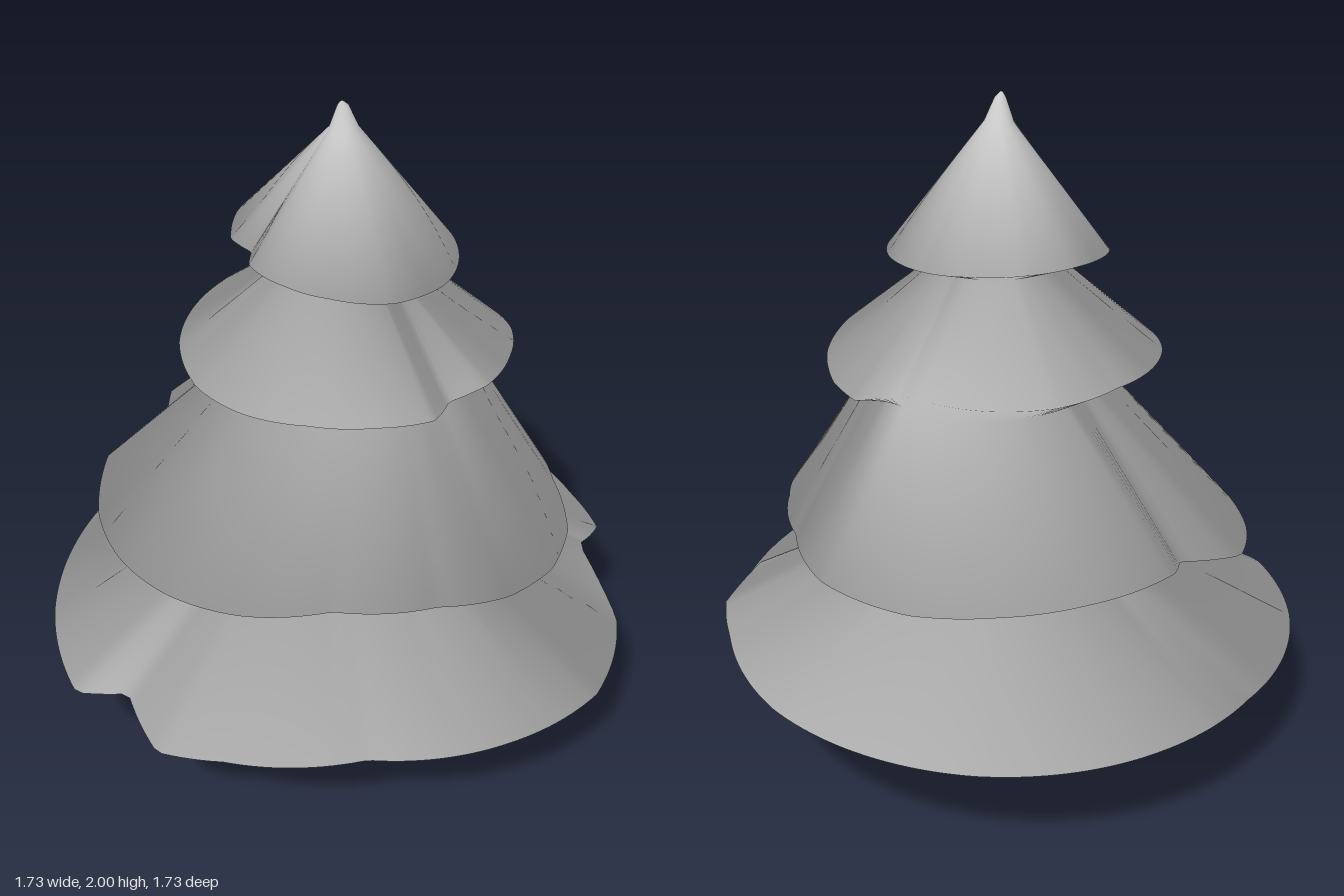
import * as THREE from 'three';

const COLUMNS = 180;
const material = new THREE.MeshStandardMaterial({ color: 0xcccccc });

// Rim outlines, as [degrees, radius, height] around the tree
const topRim = [[0, 0.28, 1.57], [34, 0.3, 1.56], [65, 0.31, 1.55], [90, 0.32, 1.55], [119, 0.31, 1.55],
  [152, 0.28, 1.56], [180, 0.28, 1.57], [209, 0.285, 1.57], [223, 0.26, 1.57], [235, 0.315, 1.58],
  [256, 0.33, 1.6], [275, 0.335, 1.61], [301, 0.33, 1.61], [329, 0.29, 1.59]];
const upperRim = [[10, 0.465, 1.22], [24, 0.48, 1.23], [43, 0.48, 1.25], [65, 0.465, 1.27], [88, 0.46, 1.28],
  [99, 0.395, 1.24], [112, 0.45, 1.25], [133, 0.44, 1.26], [157, 0.435, 1.26], [183, 0.45, 1.25],
  [205, 0.465, 1.25], [230, 0.47, 1.27], [251, 0.465, 1.28], [270, 0.46, 1.29], [295, 0.475, 1.29],
  [318, 0.445, 1.28], [346, 0.41, 1.27], [357, 0.39, 1.25]];
const middleRim = [[0, 0.67, 0.77], [25, 0.61, 0.76], [50, 0.625, 0.74], [68, 0.67, 0.71], [83, 0.675, 0.7],
  [99, 0.65, 0.71], [119, 0.61, 0.75], [147, 0.6, 0.77], [171, 0.63, 0.72], [193, 0.675, 0.7],
  [209, 0.71, 0.7], [228, 0.74, 0.7], [247, 0.75, 0.74], [259, 0.62, 0.76], [270, 0.69, 0.81],
  [294, 0.69, 0.81], [314, 0.69, 0.8], [334, 0.69, 0.78]];
const bottomRim = [[0, 0.86, 0.44], [27, 0.82, 0.44], [40, 0.82, 0.44], [51, 0.72, 0.5], [61, 0.84, 0.32],
  [86, 0.865, 0.34], [110, 0.82, 0.36], [139, 0.77, 0.38], [168, 0.82, 0.35], [181, 0.87, 0.33],
  [195, 0.8, 0.37], [203, 0.91, 0.34], [225, 0.9, 0.36], [260, 0.87, 0.4], [284, 0.87, 0.41],
  [318, 0.88, 0.43]];

// Point on a rim at a given angle in degrees
function rimPoint(keys, degrees) {
  const first = keys[0];
  const deg = degrees < first[0] ? degrees + 360 : degrees;
  const next = keys.findIndex((key) => key[0] > deg);
  const a = next < 0 ? keys[keys.length - 1] : keys[next - 1];
  const b = next < 0 ? [first[0] + 360, first[1], first[2]] : keys[next];
  const t = (deg - a[0]) / (b[0] - a[0]);
  const r = THREE.MathUtils.lerp(a[1], b[1], t);
  const angle = THREE.MathUtils.degToRad(deg);
  return new THREE.Vector3(r * Math.cos(angle), THREE.MathUtils.lerp(a[2], b[2], t), r * Math.sin(angle));
}

const columnAngle = (j) => (j * 360) / COLUMNS;
const rim = (keys) => Array.from({ length: COLUMNS }, (_, j) => rimPoint(keys, columnAngle(j)));

// Round ring at height y; with lift it rises and falls with a rim
function ring(r, y, x = 0, z = 0, lift = 0, keys = bottomRim) {
  const wave = rim(keys).map((p) => p.y);
  const mean = wave.reduce((sum, h) => sum + h, 0) / COLUMNS;
  return wave.map((h, j) => {
    const angle = THREE.MathUtils.degToRad(columnAngle(j));
    return new THREE.Vector3(x + r * Math.cos(angle), y + lift * (h - mean), z + r * Math.sin(angle));
  });
}

// Smooth normals across the whole shell: each face around a corner counts equally
function shellNormals(rings) {
  const normals = rings.map((points) => points.map(() => new THREE.Vector3()));
  for (let k = 0; k < rings.length - 1; k++) {
    for (let j = 0; j < COLUMNS; j++) {
      const n = (j + 1) % COLUMNS;
      const across = rings[k + 1][n].clone().sub(rings[k][j]);
      const down = rings[k + 1][j].clone().sub(rings[k][n]);
      const face = across.cross(down).negate().normalize();
      for (const corner of [normals[k][j], normals[k][n], normals[k + 1][j], normals[k + 1][n]]) {
        corner.sub(face);
      }
    }
  }
  return normals.map((row) => row.map((normal) => normal.normalize()));
}

// Mesh of the shell between two of its rings
function shellPart(name, rings, normals, from, to) {
  const flatten = (rows) => rows.slice(from, to + 1).flat().flatMap((v) => v.toArray());
  const indices = [];
  for (let k = 0; k < to - from; k++) {
    for (let j = 0; j < COLUMNS; j++) {
      const a = k * COLUMNS + j;
      const b = k * COLUMNS + ((j + 1) % COLUMNS);
      indices.push(a, b, a + COLUMNS, b, b + COLUMNS, a + COLUMNS);
    }
  }
  const geometry = new THREE.BufferGeometry();
  geometry.setAttribute('position', new THREE.Float32BufferAttribute(flatten(rings), 3));
  geometry.setAttribute('normal', new THREE.Float32BufferAttribute(flatten(normals), 3));
  geometry.setIndex(indices);
  const mesh = new THREE.Mesh(geometry, material);
  mesh.name = name;
  return mesh;
}

export function createModel() {
  const tree = new THREE.Group();
  tree.name = 'firTree';

  // Rings from the tip down to the foot of the trunk
  const rings = [
    ring(0.002, 2, -0.02),
    ring(0.015, 1.985, -0.015),
    ring(0.04, 1.92, -0.01),
    rim(topRim),
    ring(0.165, 1.53),
    rim(upperRim),
    ring(0.33, 1.19, 0.025, 0.02),
    rim(middleRim),
    ring(0.33, 0.72, 0.02, -0.045, 0.3, middleRim),
    rim(bottomRim),
    ring(0.41, 0.24, 0, 0, 0.4, bottomRim),
    ring(0.09, 0.2, 0.03, -0.03),
    ring(0.09, 0, 0.02, -0.02),
    ring(0.001, 0, 0.02, -0.02),
  ];
  const normals = shellNormals(rings);

  // Each part runs from one neck to the next
  const parts = [
    ['topTier', 0, 4],
    ['upperTier', 4, 6],
    ['middleTier', 6, 8],
    ['bottomTier', 8, 11],
    ['trunk', 11, 13],
  ];
  for (const [name, from, to] of parts) {
    tree.add(shellPart(name, rings, normals, from, to));
  }
  return tree;
}
